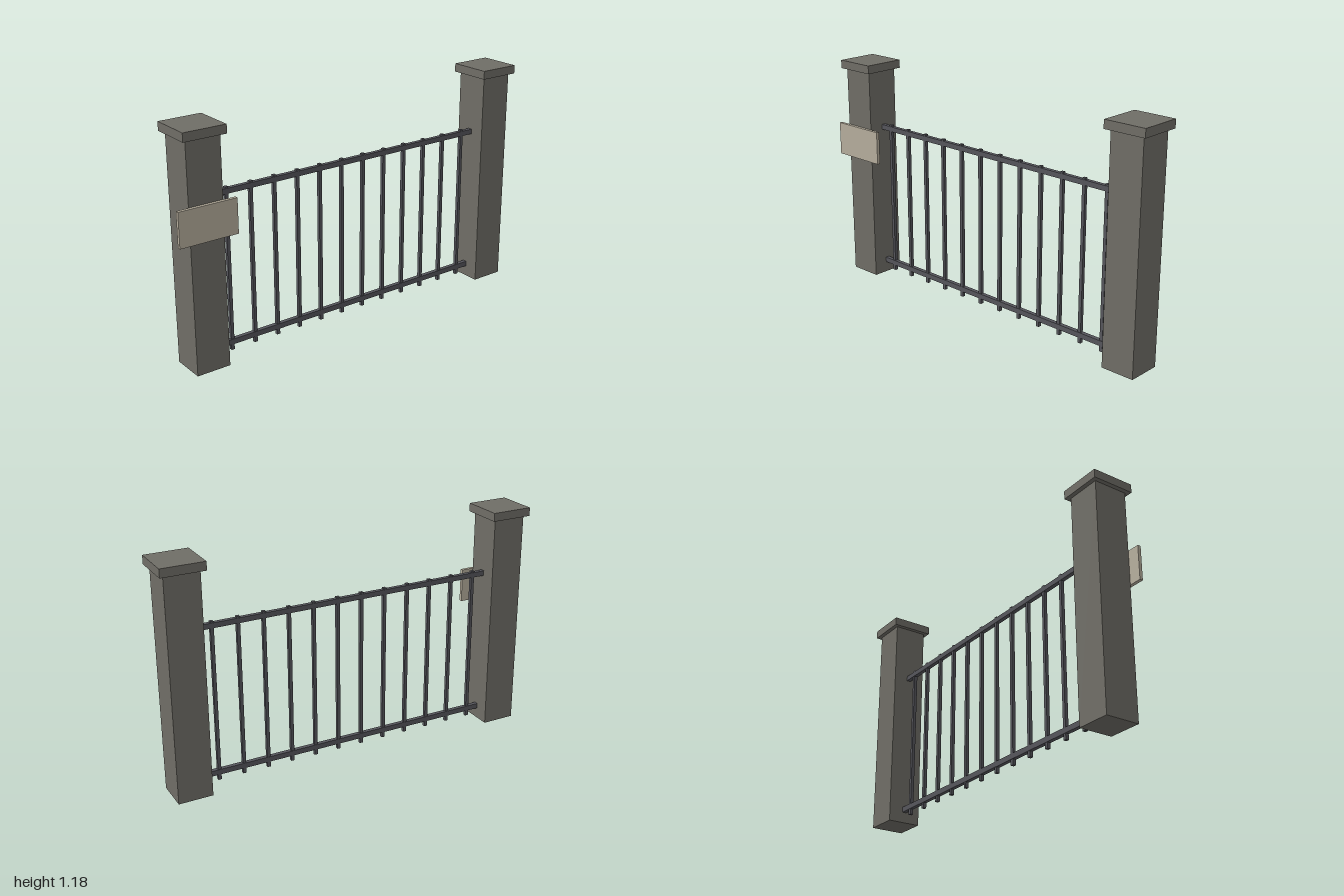
import * as THREE from 'three';

export function createModel() {
  const model = new THREE.Group();
  model.name = 'fencePanel';

  const stone = new THREE.MeshStandardMaterial({ color: 0x6f6d66 });
  const metal = new THREE.MeshStandardMaterial({ color: 0x55555b });
  const board = new THREE.MeshStandardMaterial({ color: 0xb5ad9c });

  // Box given by its centre x, z and its bottom and top heights
  function box(name, material, x, z, width, depth, bottom, top, parent = model) {
    const mesh = new THREE.Mesh(new THREE.BoxGeometry(width, top - bottom, depth), material);
    mesh.position.set(x, (bottom + top) / 2, z);
    mesh.name = name;
    parent.add(mesh);
  }

  // Square posts with overhanging caps
  const rightX = -0.851, leftX = 0.891;
  for (const [side, x] of [['right', rightX], ['left', leftX]]) {
    const post = new THREE.Group();
    post.name = side + 'Post';
    box('shaft', stone, x, 0, 0.174, 0.174, 0, 1.133, post);
    box('cap', stone, x, 0, 0.217, 0.217, 1.133, 1.176, post);
    model.add(post);
  }

  // Horizontal rails between the posts
  const middle = (rightX + leftX) / 2, span = leftX - rightX - 0.174;
  box('topRail', metal, middle, 0, span, 0.022, 0.817, 0.843);
  box('bottomRail', metal, middle, 0, span, 0.022, 0.056, 0.083);

  // Upright bars poking slightly past both rails
  const bars = new THREE.Group();
  bars.name = 'bars';
  for (let i = 0; i < 12; i++) {
    box('bar', metal, -0.698 + i * 0.1303, 0, 0.017, 0.017, 0.027, 0.851, bars);
  }
  model.add(bars);

  // Blank sign board on the front of the right post
  box('signBoard', board, -0.85, 0.0955, 0.3, 0.017, 0.655, 0.828);

  return model;
}
